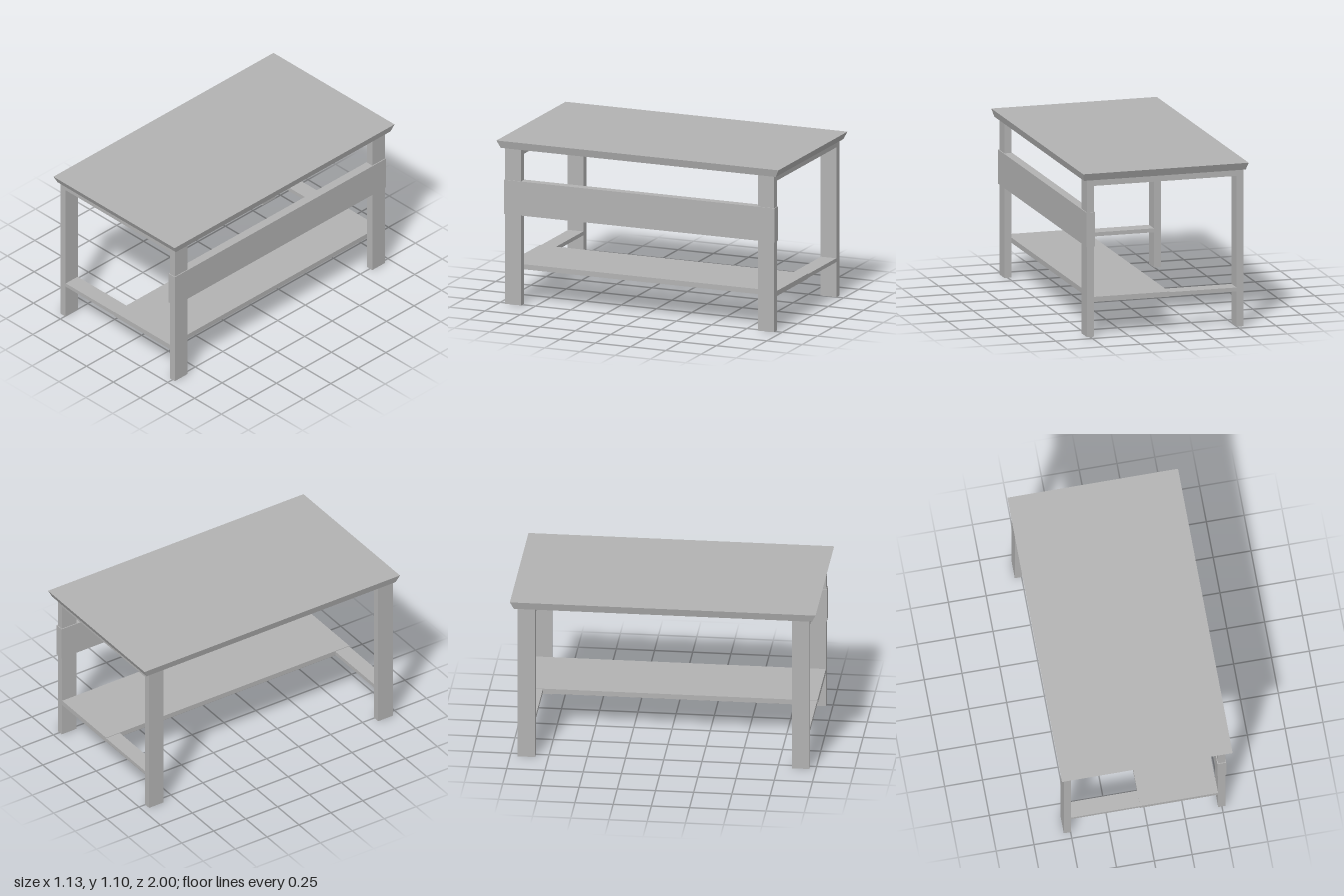
import * as THREE from 'three';

export function createModel() {
  const group = new THREE.Group();
  group.name = 'workTable';
  const grey = new THREE.MeshStandardMaterial({ color: 0xb2b2b2 });
  grey.name = 'plain grey';

  // Box given by its extents along each axis
  function block(name, [x0, x1], [y0, y1], [z0, z1]) {
    const mesh = new THREE.Mesh(new THREE.BoxGeometry(x1 - x0, y1 - y0, z1 - z0), grey);
    mesh.position.set((x0 + x1) / 2, (y0 + y1) / 2, (z0 + z1) / 2);
    mesh.name = name;
    group.add(mesh);
    return mesh;
  }

  // Table top, undercut so the lower rim is smaller
  const top = block('tableTop', [-0.565, 0.563], [1.05, 1.1], [-1, 1]);
  const pos = top.geometry.attributes.position;
  for (let i = 0; i < pos.count; i++) {
    if (pos.getY(i) < 0) {
      pos.setX(i, pos.getX(i) - Math.sign(pos.getX(i)) * 0.013);
      pos.setZ(i, pos.getZ(i) - Math.sign(pos.getZ(i)) * 0.025);
    }
  }
  top.geometry.computeVertexNormals();

  // Each end: two legs, an upper rail and a lower rail
  const ends = [['front', [0.843, 0.957]], ['back', [-0.951, -0.837]]];
  for (const [end, z] of ends) {
    block(end + 'RightLeg', [-0.545, -0.498], [0, 1.05], z);
    block(end + 'LeftLeg', [0.475, 0.522], [0, 1.05], z);
    block(end + 'UpperRail', [-0.498, 0.475], [1.006, 1.05], z);
    block(end + 'LowerRail', [-0.498, 0.475], [0.235, 0.261], [z[0] + 0.002, z[1] - 0.004]);
  }

  // Lower shelf wrapping over the lower rails
  block('shelf', [-0.04, 0.473], [0.231, 0.265], [-0.949, 0.955]);

  // Long side board wrapping the legs on one side
  block('sideBoard', [0.469, 0.528], [0.604, 0.832], [-0.956, 0.962]);

  return group;
}
